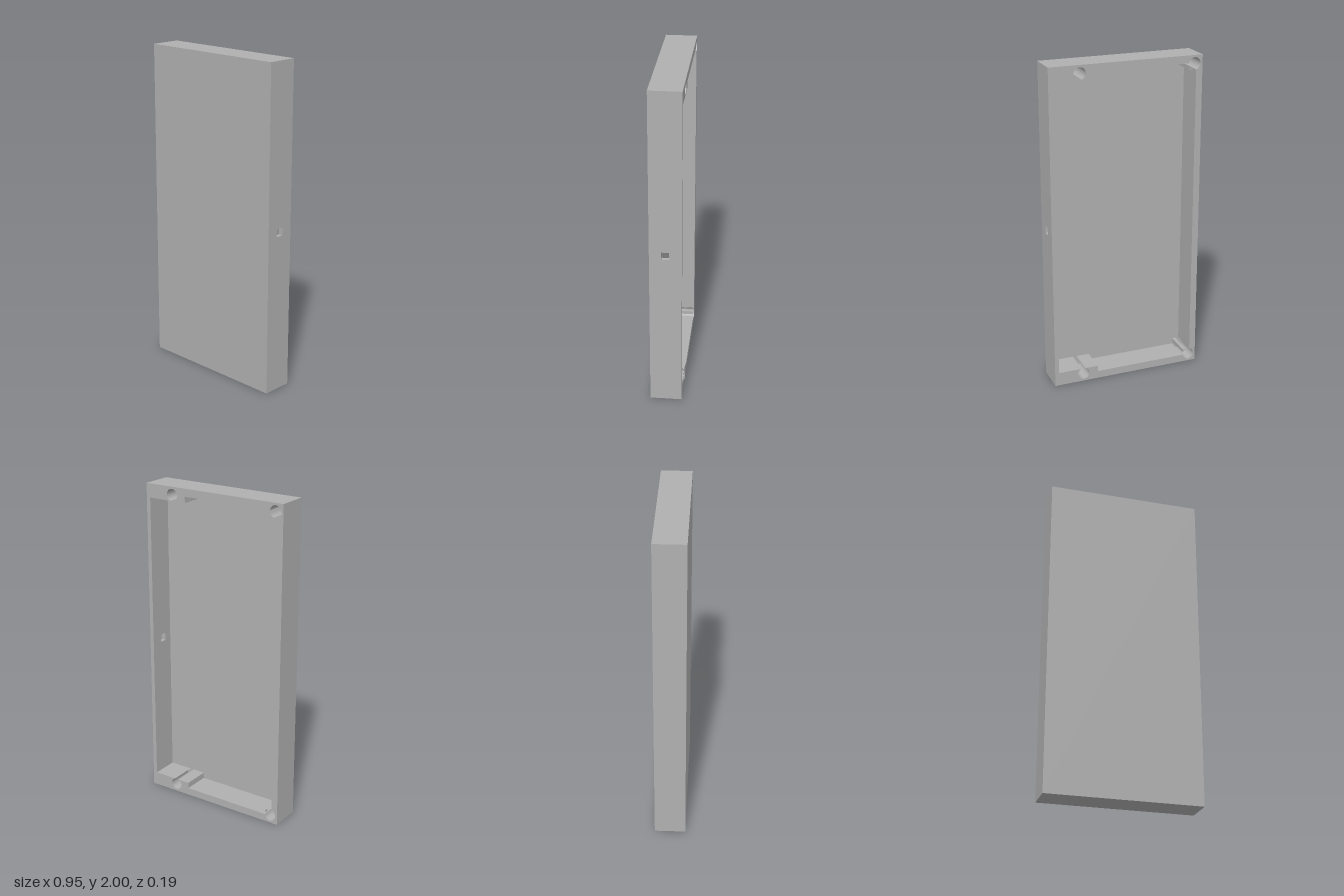
import * as THREE from 'three';

const W = 0.475, BACK = -0.095, FLOOR = 0.075, FRONT = 0.095;
const R = 0.037;            // screw hole radius
const BOSS = -0.915;        // inner face of the lower bosses
const RIM = -0.953;         // inner face of the bottom wall
const HOLE_Y = -0.95;
const SIDE = 0.45;          // inner face of the pierced side wall

// points on a circle from angle a to angle b
function arc(cx, cy, a, b, n = 24) {
  return Array.from({ length: n + 1 }, (_, i) => {
    const t = a + (b - a) * i / n;
    return [cx + R * Math.cos(t), cy + R * Math.sin(t)];
  });
}

function extrude(points, z0, z1, holes = []) {
  const toVec = (p) => new THREE.Vector2(p[0], p[1]);
  const shape = new THREE.Shape(points.map(toVec));
  for (const h of holes) shape.holes.push(new THREE.Path(h.map(toVec)));
  const g = new THREE.ExtrudeGeometry(shape, { depth: z1 - z0, bevelEnabled: false });
  return g.translate(0, 0, z0);
}

export function createModel() {
  const group = new THREE.Group();
  const grey = new THREE.MeshStandardMaterial({ color: 0xb0b0b0 });
  grey.name = 'casing grey';
  const add = (name, geometry) => {
    const mesh = new THREE.Mesh(geometry, grey);
    mesh.name = name;
    group.add(mesh);
    return mesh;
  };

  // lower inner outline: wide boss with slotted hole, bottom wall, corner hole
  const gap = Math.asin((BOSS - HOLE_Y) / R);
  const low = Math.asin((RIM - HOLE_Y) / R);
  const cornerX = -0.425, wallX = -0.435;
  const wallAngle = -2 * Math.PI + Math.acos((wallX - cornerX) / R);
  const lower = [
    [SIDE, BOSS],
    ...arc(0.288, HOLE_Y, gap, -Math.PI - gap),
    [0.195, BOSS], [0.195, RIM],
    ...arc(cornerX, HOLE_Y, low, wallAngle),
  ];
  const upper = lower.map(([x, y]) => [x, -y]).reverse();

  // frame with top, bottom and one side wall
  const frame = [[SIDE, 1], [-W, 1], [-W, -1], [SIDE, -1], ...lower, ...upper];
  add('frame', extrude(frame, BACK, FLOOR)).position.y = 1;

  // slivers of the corner bosses left beside the holes
  const edge = Math.acos((-0.39 - cornerX) / R);
  for (const s of [1, -1]) {
    const pts = [[-0.39, BOSS], ...arc(cornerX, HOLE_Y, gap, edge, 8)];
    const post = pts.map(([x, y]) => [x, y * s]);
    add(s > 0 ? 'lowerCornerPost' : 'upperCornerPost', extrude(post, BACK, FLOOR)).position.y = 1;
  }

  // side wall pierced by a square port; outline is drawn in z and y
  const port = 0.0235;
  const wall = extrude(
    [[-FLOOR, 0], [-BACK, 0], [-BACK, 2], [-FLOOR, 2]], 0, W - SIDE,
    [[[-port, 1 - port], [-port, 1 + port], [port, 1 + port], [port, 1 - port]]]
  );
  wall.rotateY(Math.PI / 2).translate(SIDE, 0, 0);
  add('portWall', wall);

  // closed front panel
  const panel = new THREE.BoxGeometry(2 * W, 2, FRONT - FLOOR);
  add('frontPanel', panel.translate(0, 1, (FRONT + FLOOR) / 2));

  return group;
}
